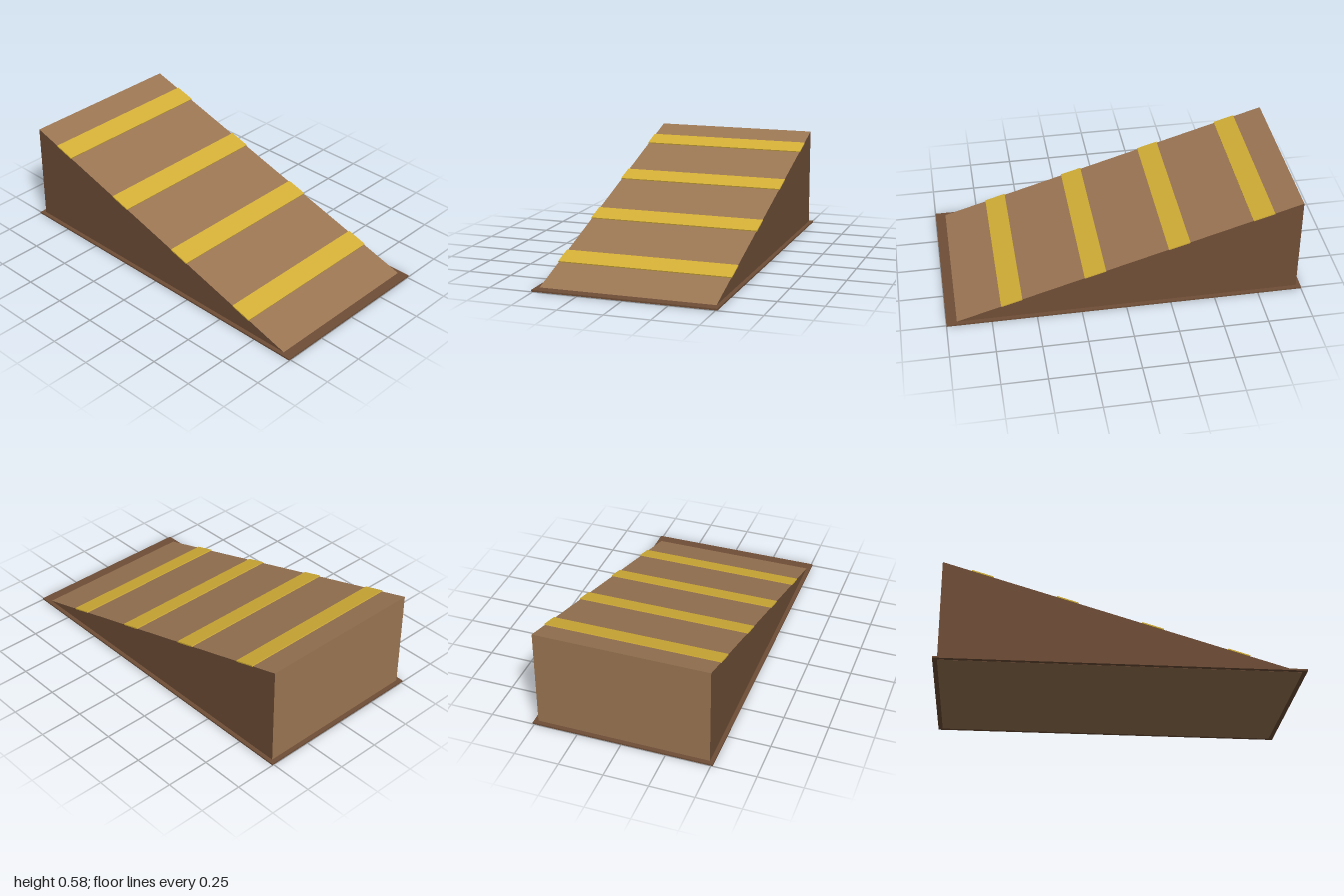
import * as THREE from 'three';

const wood = new THREE.MeshStandardMaterial({ color: 0x9b7653 });
wood.name = 'light brown';
const darkWood = new THREE.MeshStandardMaterial({ color: 0x6f4e37 });
darkWood.name = 'dark brown';
const gold = new THREE.MeshStandardMaterial({ color: 0xd4af37 });
gold.name = 'gold';

const HALF = 0.975;   // half length of the wedge
const RISE = 0.585;   // height at the back
const WIDTH = 0.974;
const slope = RISE / (2 * HALF);

export function createModel() {
  const model = new THREE.Group();
  model.name = 'ramp';

  // Thin base plate, its underside just above the wedge's
  const base = new THREE.Mesh(new THREE.BoxGeometry(1.02, 0.009, 2), darkWood);
  base.name = 'basePlate';
  base.position.y = 0.0055;
  model.add(base);

  // Wedge: triangular side profile, dark sides, light slope, back and underside
  const profile = new THREE.Shape();
  profile.moveTo(-HALF, 0);
  profile.lineTo(HALF, 0);
  profile.lineTo(-HALF, RISE);
  profile.closePath();
  const wedgeGeometry = new THREE.ExtrudeGeometry(profile, { depth: WIDTH, bevelEnabled: false });
  wedgeGeometry.translate(0, 0, -WIDTH / 2);
  wedgeGeometry.rotateY(-Math.PI / 2);
  const wedge = new THREE.Mesh(wedgeGeometry, [darkWood, wood]);
  wedge.name = 'wedge';
  model.add(wedge);

  // Grip strips lying on the slope
  const stripGeometry = new THREE.BoxGeometry(0.98, 0.007, 0.123);
  for (let i = 0; i < 4; i++) {
    const strip = new THREE.Mesh(stripGeometry, gold);
    const z = 0.635 - i * 0.464;
    strip.name = `gripStrip${i + 1}`;
    strip.position.set(0, (HALF - z) * slope + 0.002, z);
    strip.rotation.x = Math.atan(slope);
    model.add(strip);
  }

  return model;
}
